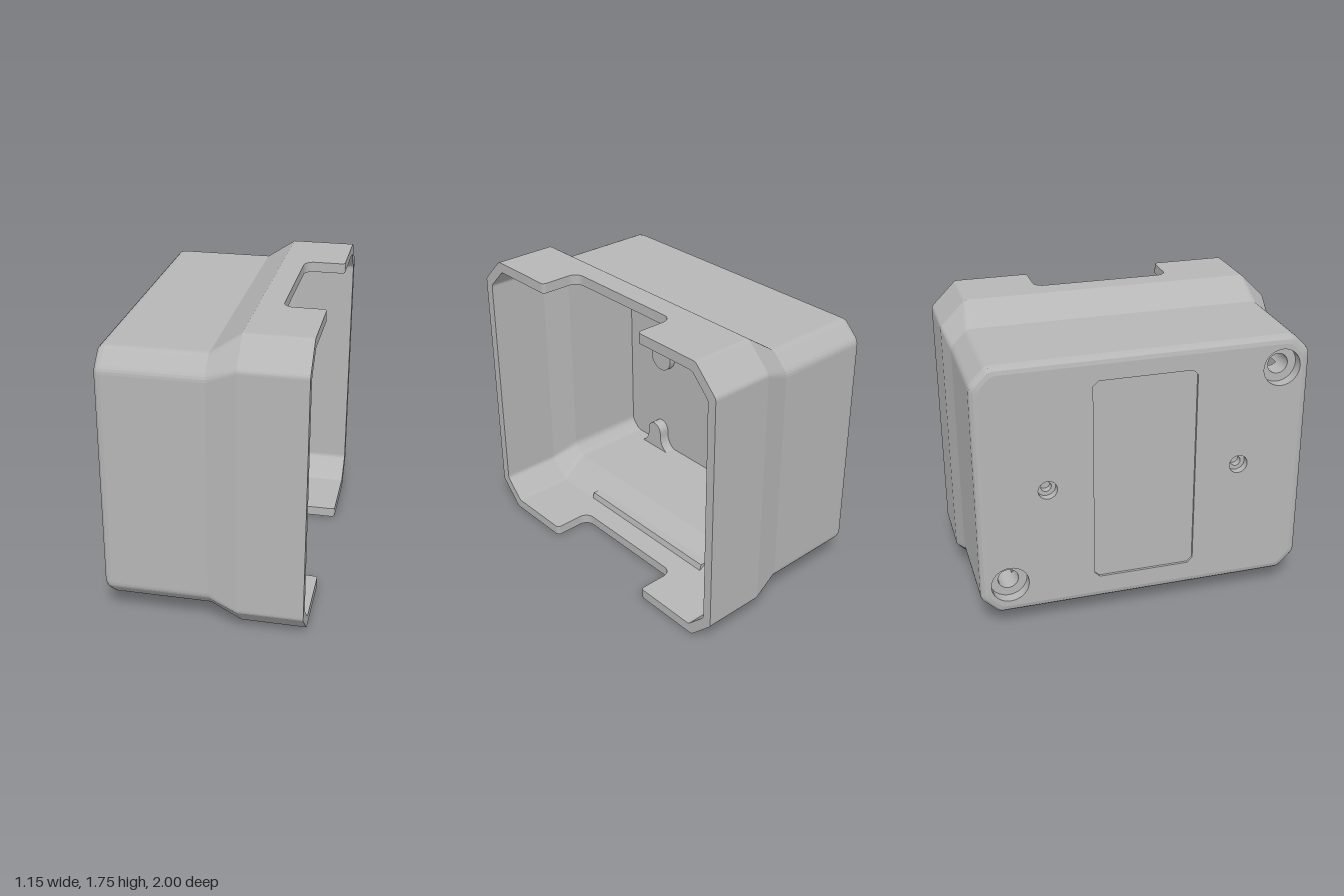
import * as THREE from 'three';
import { toCreasedNormals } from 'three/addons/utils/BufferGeometryUtils.js';

const MID = 0.877; // height of the housing's centre line
const FLOOR = -0.49; // inner face of the back wall

// Corner points (w across, h up) of a chamfered rectangle, counter-clockwise seen from +x
function octagon(y0, y1, half, c) {
  const w = half - c;
  return [[-w, y0], [w, y0], [half, y0 + c], [half, y1 - c], [w, y1], [-w, y1], [-half, y1 - c], [-half, y0 + c]]
    .map(([a, b]) => new THREE.Vector2(a, b));
}

// Softens every corner of an octagon into four points
function soften(corners, s) {
  const out = [];
  corners.forEach((p, i) => {
    const toward = (q) => p.clone().add(q.clone().sub(p).setLength(s));
    const a = toward(corners[(i + 7) % 8]);
    const b = toward(corners[(i + 1) % 8]);
    out.push(...new THREE.QuadraticBezierCurve(a, p, b).getPoints(3));
  });
  return out;
}

// Joins cross-sections along x; each section may skip its bottom or top flat
function loft(sections) {
  const BOTTOM = 3, TOP = 19, pos = [];
  const rings = sections.map(({ x, y0, y1, half, c, s = 0.025 }) =>
    soften(octagon(y0, y1, half, c), s).map((p) => [x, p.y, -p.x]));
  for (let k = 0; k + 1 < rings.length; k++) {
    const skip = sections[k].skip || '';
    for (let j = 0; j < 32; j++) {
      if ((j === BOTTOM && skip.includes('b')) || (j === TOP && skip.includes('t'))) continue;
      const n = (j + 1) % 32, p = rings[k], q = rings[k + 1];
      pos.push(...p[j], ...p[n], ...q[n], ...p[j], ...q[n], ...q[j]);
    }
  }
  const g = new THREE.BufferGeometry();
  g.setAttribute('position', new THREE.Float32BufferAttribute(pos, 3));
  g.computeVertexNormals();
  return g;
}

function extrude(shape, depth) {
  const g = new THREE.ExtrudeGeometry(shape, { depth, bevelEnabled: false, curveSegments: 16 });
  return toCreasedNormals(g, 0.5);
}
// Plate facing +x between x0 and x1, drawn as seen from +x
const plateX = (shape, x0, x1) => extrude(shape, x1 - x0).rotateY(Math.PI / 2).translate(x0, 0, 0);
// Plate facing up between y0 and y1, drawn in x and -z
const plateY = (shape, y0, y1) => extrude(shape, y1 - y0).rotateX(-Math.PI / 2).translate(0, y0, 0);

const circle = (x, y, r) => new THREE.Path().absarc(x, y, r, 0, Math.PI * 2, true);

function polygon(points, Kind = THREE.Shape) {
  return new Kind(points.map(([a, b]) => new THREE.Vector2(a, b)));
}

// Half turn about the housing's long axis
const halfTurn = (g) => g.translate(0, -MID, 0).rotateX(Math.PI).translate(0, MID, 0);

export function createModel() {
  const model = new THREE.Group();
  const grey = new THREE.MeshStandardMaterial({ color: 0xb6b6b6 });
  grey.name = 'housing grey';
  const add = (name, geometry) => {
    const mesh = new THREE.Mesh(geometry, grey);
    mesh.name = name;
    model.add(mesh);
  };

  // Shell: up the outside, over the rim and down the inside
  const narrow = { y0: 0.11, y1: 1.64, half: 0.97, c: 0.1 };
  const wide = { y0: 0, y1: 1.755, half: 1, c: 0.15, s: 0.015 };
  const wideIn = { y0: 0.06, y1: 1.695, half: 0.945, c: 0.12, s: 0.015 };
  const narrowIn = { y0: 0.175, y1: 1.58, half: 0.91, c: 0.06 };
  const inset = (d) => ({ y0: 0.11 + d, y1: 1.64 - d, half: 0.97 - d, c: 0.1 - d * 0.5 });
  add('shell', loft([
    { ...inset(0.045), x: -0.575 },
    { ...inset(0.022), x: -0.569 },
    { ...inset(0.006), x: -0.553 },
    { ...narrow, x: -0.53, skip: 'b' },
    { ...narrow, x: 0.03 },
    { ...wide, x: 0.2, skip: 'bt' },
    { ...wide, x: 0.575, skip: 'bt' },
    { ...wideIn, x: 0.575, skip: 'bt' },
    { ...wideIn, x: 0.2 },
    { ...narrowIn, x: 0.03, skip: 'b' },
    { ...narrowIn, x: FLOOR },
  ]));

  // Bottom panel with the cable slot
  const bottom = polygon([[-0.53, -0.845], [0.03, -0.845], [0.03, 0.845], [-0.53, 0.845]]);
  bottom.holes.push(polygon([[-0.27, 0.17], [-0.22, 0.2], [-0.18, 0.26], [-0.18, 0.56], [-0.22, 0.62],
    [-0.27, 0.65], [-0.3, 0.6], [-0.3, 0.22]], THREE.Path));
  add('slottedBottom', plateY(bottom, 0.11, 0.175));

  // Notched lips at the top and bottom of the opening
  const lip = new THREE.Shape();
  lip.moveTo(0.2, -0.835);
  lip.lineTo(0.575, -0.835);
  lip.lineTo(0.575, -0.435);
  lip.quadraticCurveTo(0.575, -0.41, 0.55, -0.41);
  lip.lineTo(0.395, -0.41);
  lip.absarc(0.395, -0.35, 0.06, -Math.PI / 2, Math.PI, true);
  lip.lineTo(0.335, 0.35);
  lip.absarc(0.395, 0.35, 0.06, Math.PI, Math.PI / 2, true);
  lip.lineTo(0.55, 0.41);
  lip.quadraticCurveTo(0.575, 0.41, 0.575, 0.435);
  lip.lineTo(0.575, 0.835);
  lip.lineTo(0.2, 0.835);
  add('bottomLip', plateY(lip, 0, 0.06));
  add('topLip', plateY(lip, 1.695, 1.755));

  // Steep ledges inside the flare, behind the notches
  const ledge = () => extrude(polygon([[0.2, 0.055], [0.19, 0.1], [0.13, 0.1]]), 1.04).translate(0, 0, -0.52);
  add('bottomLedge', ledge());
  add('topLedge', halfTurn(ledge()));

  // Back wall in layers: label recess, counterbores and screw holes
  const backLayer = (x0, x1, rScrew, rSmall, recess) => {
    const e = inset(0.045);
    const shape = new THREE.Shape(soften(octagon(e.y0, e.y1, e.half, e.c), 0.025));
    shape.holes.push(circle(-0.8, 1.455, rScrew), circle(0.8, 2 * MID - 1.455, rScrew));
    for (const s of [-1, 1]) shape.holes.push(circle(s * 0.565, MID, rSmall));
    if (recess) {
      shape.holes.push(polygon([[-0.3, 0.29], [-0.27, 0.26], [0.27, 0.26], [0.3, 0.29],
        [0.3, 1.47], [0.27, 1.5], [-0.27, 1.5], [-0.3, 1.47]], THREE.Path));
    }
    add('backWall', plateX(shape, x0, x1));
  };
  backLayer(-0.575, -0.56, 0.11, 0.055, true);
  backLayer(-0.56, -0.53, 0.11, 0.055, false);
  backLayer(-0.53, -0.51, 0.11, 0.03, false);
  backLayer(-0.51, FLOOR, 0.06, 0.03, false);

  // Round bosses closing the small holes
  for (const z of [-0.565, 0.565]) {
    const boss = new THREE.CylinderGeometry(0.093, 0.093, 0.04, 40);
    add('roundBoss', boss.rotateZ(-Math.PI / 2).translate(FLOOR + 0.02, MID, z));
  }

  // Stepped screw bosses in two opposite corners
  const lower = new THREE.Shape();
  lower.moveTo(-0.92, 1.59);
  lower.lineTo(-0.92, 1.22);
  lower.quadraticCurveTo(-0.91, 1.31, -0.83, 1.31);
  lower.lineTo(-0.77, 1.31);
  lower.absarc(-0.77, 1.425, 0.115, -Math.PI / 2, 0, false);
  lower.lineTo(-0.655, 1.5);
  lower.quadraticCurveTo(-0.655, 1.58, -0.57, 1.59);
  lower.holes.push(circle(-0.8, 1.455, 0.06));
  const upper = new THREE.Shape();
  upper.moveTo(-0.92, 1.59);
  upper.lineTo(-0.92, 1.35);
  upper.quadraticCurveTo(-0.9, 1.41, -0.842, 1.413);
  upper.absarc(-0.8, 1.455, 0.06, -Math.PI * 0.75, -Math.PI * 1.75, true);
  upper.quadraticCurveTo(-0.745, 1.57, -0.66, 1.59);

  // Narrow fin rising from an inner wall, with flared feet
  const fin = (x, r, foot) => {
    const s = new THREE.Shape();
    s.moveTo(x - foot, 0.165);
    s.quadraticCurveTo(x - r, 0.19, x - r, 0.28);
    s.lineTo(x - r, 0.36 - r);
    s.absarc(x, 0.36 - r, r, Math.PI, 0, true);
    s.lineTo(x + r, 0.28);
    s.quadraticCurveTo(x + r, 0.19, x + foot, 0.165);
    return plateX(s, FLOOR, FLOOR + 0.07);
  };
  for (const place of [(g) => g, halfTurn]) {
    add('screwBossStep', place(plateX(lower, FLOOR, FLOOR + 0.1)));
    add('screwBossTop', place(plateX(upper, FLOOR + 0.1, FLOOR + 0.2)));
  }
  add('bottomFin', fin(-0.6, 0.06, 0.15));
  add('topFin', halfTurn(fin(-0.39, 0.03, 0.12)));

  return model;
}
